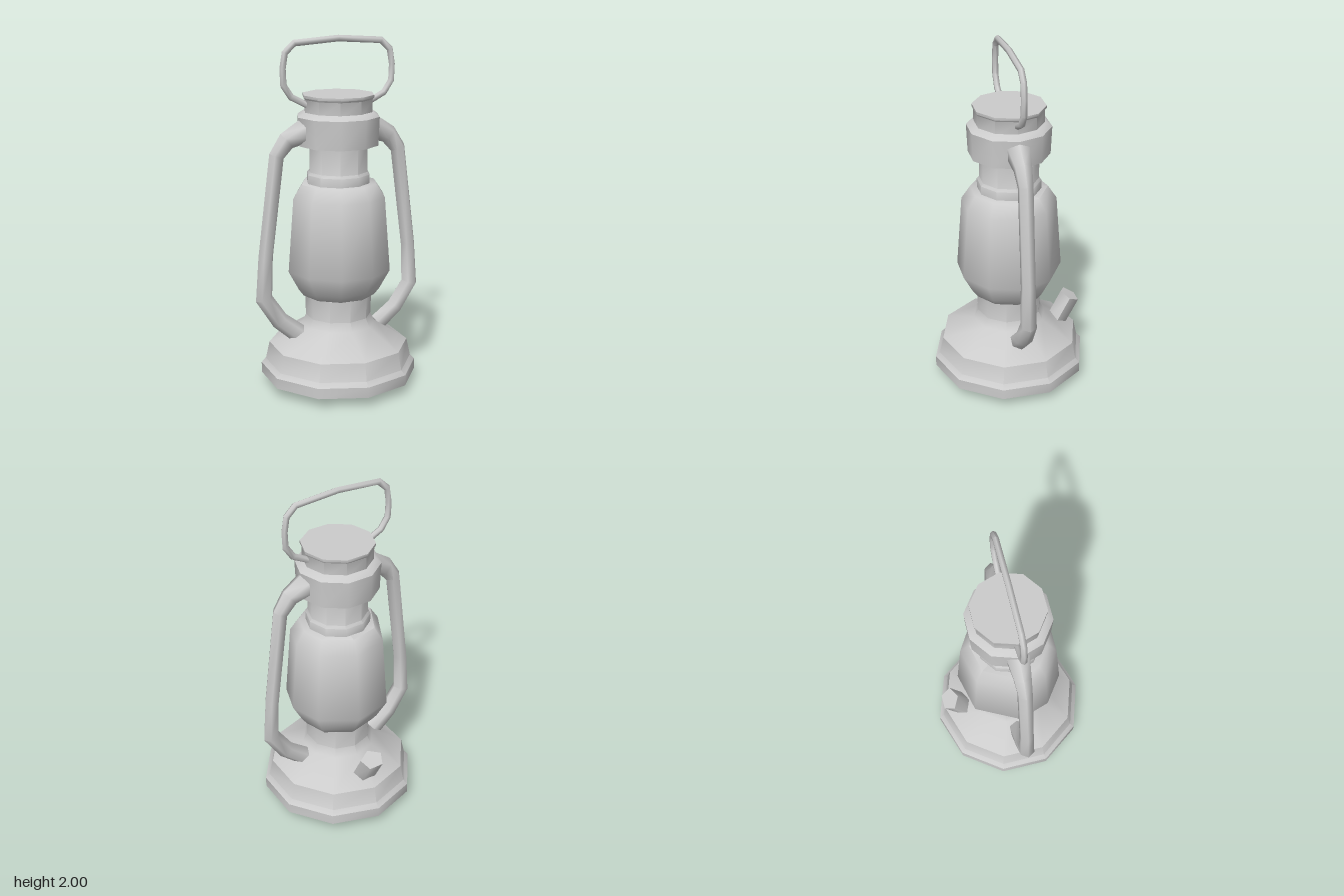
import * as THREE from 'three';
import { toCreasedNormals } from 'three/addons/utils/BufferGeometryUtils.js';

const material = new THREE.MeshStandardMaterial({ color: 0xcccccc });

// Skin a list of equally sized closed rings
function skin(rings, crease) {
  const n = rings[0].length, pos = [], index = [];
  rings.forEach(ring => ring.forEach(p => pos.push(p.x, p.y, p.z)));
  for (let i = 0; i < rings.length - 1; i++) {
    for (let j = 0; j < n; j++) {
      const k = (j + 1) % n;
      const a = i * n + j, b = i * n + k, c = a + n, d = b + n;
      index.push(a, b, d, a, d, c);
    }
  }
  const g = new THREE.BufferGeometry();
  g.setAttribute('position', new THREE.Float32BufferAttribute(pos, 3));
  g.setIndex(index);
  return toCreasedNormals(g, crease);
}

// Turned part from [radius, y] pairs, bottom to top, with given corner angles (degrees from +z)
function turned(profile, angles, crease) {
  return skin(profile.map(([r, y]) => angles.map(a => {
    const t = THREE.MathUtils.degToRad(a);
    return new THREE.Vector3(r * Math.sin(t), y, r * Math.cos(t));
  })), crease);
}

// Mitred six-sided tube along [x, y, radius] points, closed at both ends
function bentTube(path, crease) {
  const pts = path.map(([x, y]) => new THREE.Vector2(x, y));
  const rings = pts.map((p, i) => {
    const before = pts[Math.max(i - 1, 0)], after = pts[Math.min(i + 1, pts.length - 1)];
    const d1 = (i > 0 ? p.clone().sub(before) : after.clone().sub(p)).normalize();
    const d2 = (i < pts.length - 1 ? after.clone().sub(p) : d1.clone()).normalize();
    const t = d1.clone().add(d2).normalize();
    const mitre = 1 / t.dot(d1), r = path[i][2];
    return Array.from({ length: 6 }, (_, j) => {
      const a = j * Math.PI / 3, u = r * mitre * Math.cos(a);
      return new THREE.Vector3(p.x - t.y * u, p.y + t.x * u, r * Math.sin(a));
    });
  });
  const cap = p => Array.from({ length: 6 }, () => new THREE.Vector3(p.x, p.y, 0));
  return skin([cap(pts[0]), ...rings, cap(pts[pts.length - 1])], crease);
}

export function createModel() {
  const group = new THREE.Group();
  const add = (name, geometry) => {
    const mesh = new THREE.Mesh(geometry, material);
    mesh.name = name;
    group.add(mesh);
    return mesh;
  };
  const decagon = Array.from({ length: 10 }, (_, i) => i * 36);
  const turnedDecagon = decagon.map(a => a + 18);

  // Fuel tank with shallow conical underside and burner neck
  add('fuelTank', turned([
    [0, 0.005], [0.445, 0.06], [0.445, 0.12], [0.42, 0.145], [0.398, 0.245],
    [0.21, 0.36], [0.186, 0.41], [0.19, 0.535], [0, 0.535],
  ], decagon, 0.75));

  // Glass globe with slightly uneven facets
  add('globe', turned([
    [0, 0.54], [0.21, 0.54], [0.24, 0.58], [0.3, 0.69], [0.268, 1.11], [0.218, 1.185], [0, 1.19],
  ], [-144, -90, -54, -18, 18, 54, 90, 126, 171], 1.0));

  // Chimney, collar and lid
  add('chimney', turned([
    [0, 1.18], [0.18, 1.18], [0.18, 1.235], [0.167, 1.25], [0.167, 1.41], [0, 1.41],
  ], turnedDecagon, 0.75));
  add('collar', turned([
    [0, 1.4], [0.228, 1.4], [0.235, 1.56], [0.2, 1.585], [0, 1.585],
  ], turnedDecagon, 0.75));
  add('lid', turned([
    [0, 1.57], [0.194, 1.57], [0.194, 1.655], [0.203, 1.665], [0.203, 1.68], [0, 1.68],
  ], turnedDecagon, 0.75));

  // Side air tubes, flared where they meet the collar
  const airTube = bentTube([
    [0.2, 1.485, 0.07], [0.305, 1.435, 0.052], [0.363, 1.355, 0.043],
    [0.434, 0.79, 0.042], [0.447, 0.55, 0.047], [0.355, 0.41, 0.05], [0.245, 0.32, 0.055],
  ], 1.1);
  add('leftAirTube', airTube);
  add('rightAirTube', airTube).rotation.y = Math.PI;

  // Carrying bail
  const half = [
    [0.18, 1.625], [0.275, 1.675], [0.318, 1.74], [0.322, 1.83], [0.308, 1.915], [0.255, 1.965],
  ];
  const bail = [...half, [0, 1.983], ...half.slice().reverse().map(([x, y]) => [-x, y])];
  add('carryingBail', bentTube(bail.map(([x, y]) => [x, y, 0.018]), 1.1));

  // Five-sided filler spout leaning out at the back
  const spout = add('fillerSpout', toCreasedNormals(
    new THREE.CylinderGeometry(0.072, 0.072, 0.22, 5).scale(1, 1, 0.82), 1.3));
  spout.position.set(0, 0.337, -0.317);
  spout.rotation.x = -0.48;

  return group;
}
